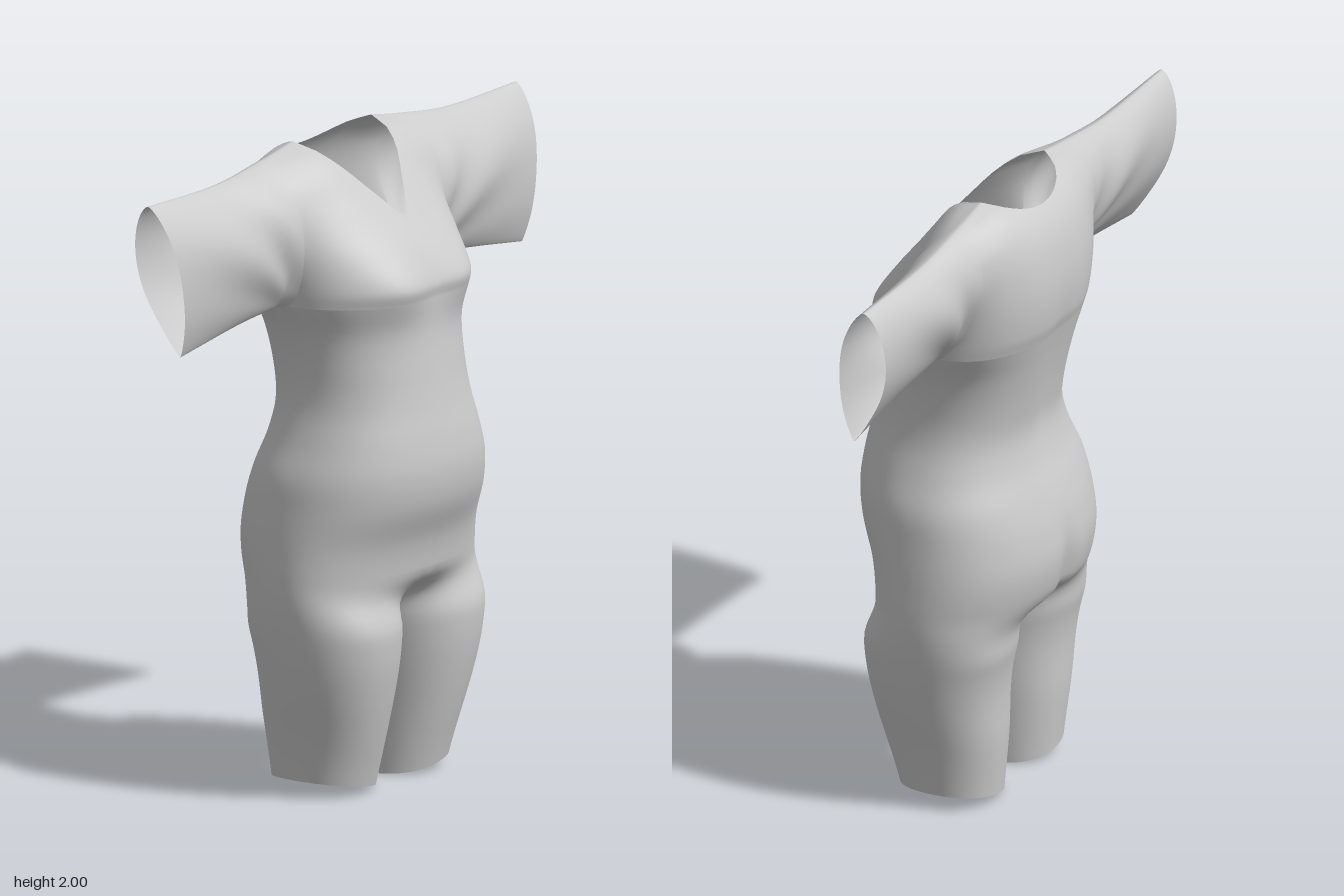
import * as THREE from 'three';
import { mergeGeometries, mergeVertices } from 'three/addons/utils/BufferGeometryUtils.js';

const { lerp, clamp, smoothstep } = THREE.MathUtils;

// Smooth interpolation through rows [key, a, b, ...], keys rising
function sample(rows, key, col) {
  const n = rows.length - 1;
  key = clamp(key, rows[0][0], rows[n][0]);
  let i = 0;
  while (i < n - 1 && key > rows[i + 1][0]) i++;
  const slope = (k) => {
    const a = rows[Math.max(k - 1, 0)], b = rows[Math.min(k + 1, n)];
    return (b[col] - a[col]) / (b[0] - a[0]);
  };
  const p = rows[i], q = rows[i + 1], d = q[0] - p[0], t = (key - p[0]) / d;
  const t2 = t * t, t3 = t2 * t;
  return (2 * t3 - 3 * t2 + 1) * p[col] + (t3 - 2 * t2 + t) * d * slope(i)
    + (3 * t2 - 2 * t3) * q[col] + (t3 - t2) * d * slope(i + 1);
}

// Lower body: height, half width, front z, back z, side z, inner leg x
const BODY = [
  [0.00, 0.340, 0.140, -0.172, -0.01, 0.045],
  [0.20, 0.370, 0.190, -0.190, 0.00, 0.030],
  [0.40, 0.413, 0.233, -0.200, 0.01, 0.012],
  [0.55, 0.435, 0.245, -0.235, 0.00, 0],
  [0.65, 0.440, 0.243, -0.290, 0.00, 0],
  [0.78, 0.432, 0.265, -0.320, -0.01, 0],
  [0.90, 0.417, 0.313, -0.308, -0.01, 0],
  [1.00, 0.400, 0.327, -0.280, 0.00, 0],
  [1.10, 0.360, 0.317, -0.245, 0.02, 0],
  [1.20, 0.326, 0.297, -0.227, 0.02, 0],
  [1.30, 0.315, 0.280, -0.240, 0.01, 0],
  [1.43, 0.328, 0.265, -0.267, -0.02, 0],
  [1.53, 0.370, 0.272, -0.290, -0.05, 0],
];
// Chest and shoulder: fraction of height above the armpit, front z, back z
const CHEST = [
  [0, 0.272, -0.290], [0.1, 0.276, -0.303], [0.3, 0.225, -0.310], [0.5, 0.152, -0.303],
  [0.7, 0.078, -0.280], [0.85, 0.020, -0.240], [0.95, -0.045, -0.185], [1, -0.12, -0.12],
];
// Shoulder line and sleeve underside: x, y
const SHOULDER = [[0.2, 2.0], [0.35, 1.975], [0.6, 1.945], [0.965, 1.948]];
const UNDERARM = [[0.37, 1.53], [0.6, 1.517], [0.965, 1.475]];

const ARMPIT = 1.53, HALF = 0.37, CUFF = 0.965;
const QUARTER = 24, NECK_STEP = 9, SLEEVE_STEPS = 24;
const NECK = HALF * Math.sin((Math.PI / 2) * NECK_STEP / QUARTER);
const round = (u, n = 2.2) => Math.pow(Math.max(0, 1 - Math.pow(Math.min(Math.abs(u), 1), n)), 1 / n);

// Grid of quads; fn(i, j) gives a point
function sheet(nu, nv, fn, flip = false) {
  const pos = [], idx = [];
  for (let j = 0; j <= nv; j++) for (let i = 0; i <= nu; i++) pos.push(...sculpt(fn(i, j)));
  for (let j = 0; j < nv; j++) for (let i = 0; i < nu; i++) {
    const a = j * (nu + 1) + i, b = a + 1, c = b + nu + 1, d = a + nu + 1;
    if (flip) idx.push(a, c, b, a, d, c);
    else idx.push(a, b, c, a, c, d);
  }
  const g = new THREE.BufferGeometry();
  g.setAttribute('position', new THREE.Float32BufferAttribute(pos, 3));
  g.setIndex(idx);
  return g;
}

// Gentle bust, seat and spine shaping
function sculpt([x, y, z]) {
  const bump = (cx, cy, rx, ry) => Math.exp(-(((x - cx) / rx) ** 2) - ((y - cy) / ry) ** 2);
  const front = smoothstep(z, 0.05, 0.2), back = smoothstep(-z, 0.1, 0.22);
  z += front * (0.018 * bump(0.17, 1.57, 0.1, 0.09) - 0.008 * bump(0, 1.57, 0.07, 0.1));
  z += back * (0.02 * bump(0, 0.72, 0.04, 0.13) + 0.012 * bump(0, 1.4, 0.06, 0.3));
  return [x, y, z];
}

// Hips, waist and one leg, from hem to armpit
function lowerHalf() {
  const N = QUARTER * 2, rows = 64;
  return sheet(N, rows, (i, j) => {
    const y = ARMPIT * j / rows, s = i / N;
    const [w, f, b, c, inner] = [1, 2, 3, 4, 5].map((k) => sample(BODY, y, k));
    // half of the torso ring
    const a = Math.PI * s, sa = Math.sin(a);
    const bx = w * sa, bz = c + ((i <= QUARTER ? f : b) - c) * round(sa);
    // full leg ring, starting at the inner thigh
    const p = 2 * Math.PI * s, cp = Math.cos(p);
    const lx = (w + inner) / 2 - cp * (w - inner) / 2;
    const lz = c + ((i <= QUARTER ? f : b) - c) * round(cp);
    const k = smoothstep(y, 0.5, 0.68);
    const hem = (1 - smoothstep(y, 0, 0.3)) * 0.05 * (1 - cp) / 2;
    return [lerp(lx, bx, k), y + hem, lerp(lz, bz, k)];
  });
}

// Front (side = 1) or back (side = -1) of the chest with one sleeve
function upperHalf(side) {
  const rows = 36;
  return sheet(QUARTER + SLEEVE_STEPS, rows, (i, j) => {
    const along = Math.max(0, i - QUARTER) / SLEEVE_STEPS;
    const xs = i <= QUARTER ? HALF * Math.sin(Math.PI / 2 * i / QUARTER) : lerp(HALF, CUFF, along);
    const low = sample(UNDERARM, xs, 1), high = sample(SHOULDER, xs, 1);
    // neckline: V at the front, shallow scoop at the back
    let top = high;
    if (i < NECK_STEP) {
      const n = xs / NECK;
      top = side > 0 ? lerp(1.75, 2, n) : 1.94 + 0.06 * n * n;
    }
    const y = lerp(low, top, (1 - Math.cos(Math.PI * j / rows)) / 2);
    const t = clamp((y - low) / (high - low), 0, 1);
    const x = xs - 0.07 * along * (1 - t);
    const c = -0.05 - 0.07 * t;
    // distances out from the middle of the garment
    const chest = side * (sample(CHEST, t, side > 0 ? 1 : 2) - c) * round(x / (HALF + 0.05 * t));
    const swell = Math.pow(Math.max(0, Math.sin(Math.PI * Math.pow(t, 1.25))), 0.65);
    const thick = side > 0 ? lerp(0.12, 0.07, along) : lerp(0.115, 0.09, along);
    // folds fanning out from the armpit
    const fan = Math.atan2(y - 1.5, Math.max(x - 0.3, 0.02));
    const fold = 0.009 * Math.sin(fan * 11 + side) * Math.sin(Math.PI * t)
      * smoothstep(x, 0.34, 0.45) * (1 - 0.7 * along);
    const sleeve = thick * swell + fold;
    const k = 0.05 * Math.min(1, 5 * t, 5 * (1 - t)) + 1e-6;
    const h = Math.max(k - Math.abs(chest - sleeve), 0) / k;
    return [x, y, c + side * (Math.max(chest, sleeve) + h * h * k / 4)];
  }, side < 0);
}

function mirrored(geometry) {
  const g = geometry.clone().scale(-1, 1, 1), a = g.index.array;
  for (let i = 0; i < a.length; i += 3) [a[i + 1], a[i + 2]] = [a[i + 2], a[i + 1]];
  return g;
}

export function createModel() {
  const halves = [lowerHalf(), upperHalf(1), upperHalf(-1)];
  // weld the panels so shading flows across the seams
  const geometry = mergeVertices(mergeGeometries([...halves, ...halves.map(mirrored)]), 1e-4);
  geometry.computeVertexNormals();
  const garment = new THREE.Mesh(geometry,
    new THREE.MeshStandardMaterial({ color: 0xcccccc, side: THREE.DoubleSide }));
  garment.name = 'shortSleevedBodysuit';
  const group = new THREE.Group();
  group.name = 'garment';
  group.add(garment);
  return group;
}
